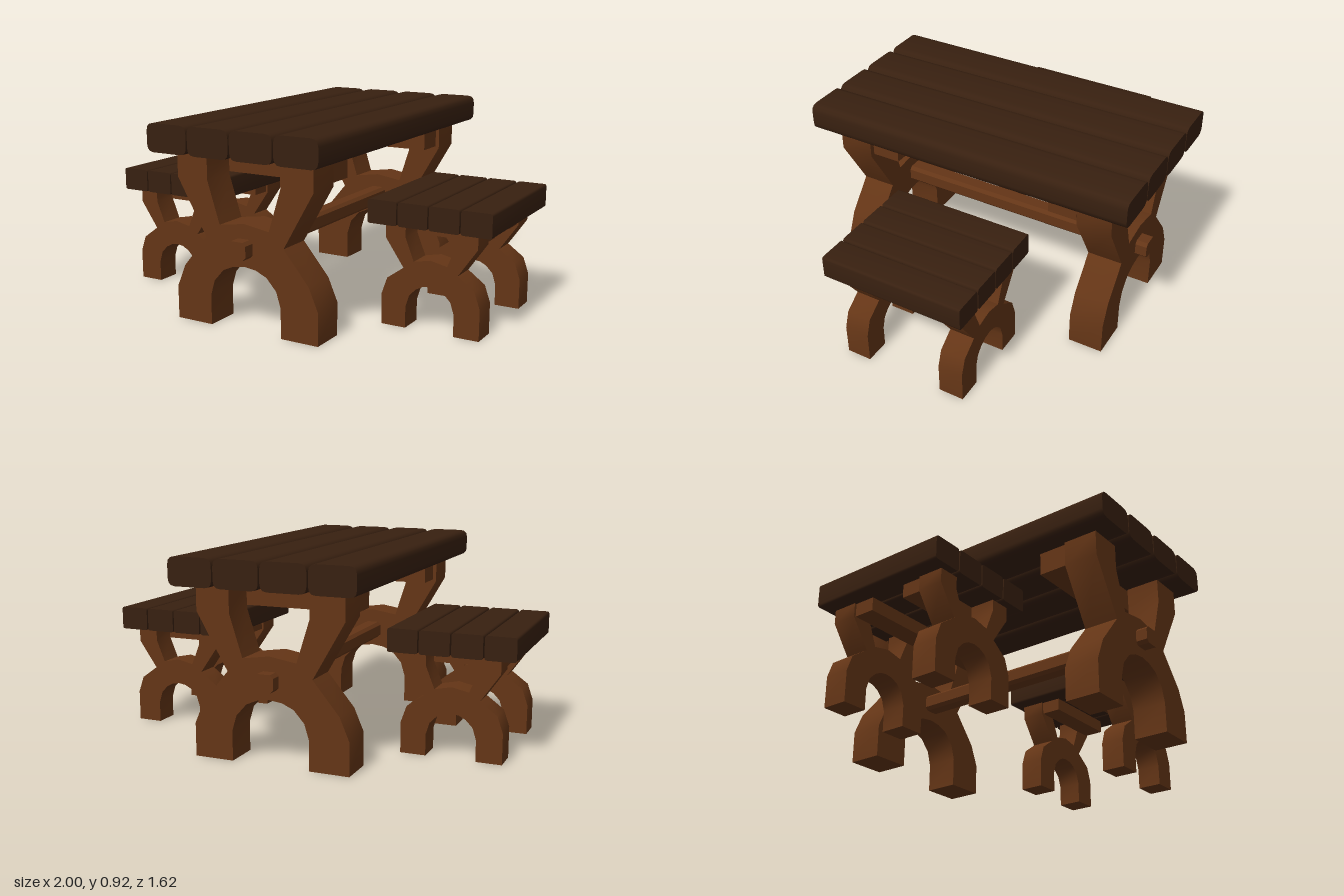
import * as THREE from 'three';
import { toCreasedNormals } from 'three/addons/utils/BufferGeometryUtils.js';

const darkWood = new THREE.MeshStandardMaterial({ color: 0x382010 });
const warmWood = new THREE.MeshStandardMaterial({ color: 0x643516 });

// Extrude a shape along z, centred on z = 0, keeping hard edges sharp
function extrudeZ(shape, depth, curveSegments = 3) {
  const geo = new THREE.ExtrudeGeometry(shape, { depth, bevelEnabled: false, curveSegments });
  geo.translate(0, 0, -depth / 2);
  return toCreasedNormals(geo, 0.65);
}

// Bar along z with rounded long edges
function bar(w, h, depth, r, segments) {
  const x = w / 2, y = h / 2;
  const s = new THREE.Shape();
  s.moveTo(-x + r, -y);
  s.lineTo(x - r, -y);
  s.quadraticCurveTo(x, -y, x, -y + r);
  s.lineTo(x, y - r);
  s.quadraticCurveTo(x, y, x - r, y);
  s.lineTo(-x + r, y);
  s.quadraticCurveTo(-x, y, -x, y - r);
  s.lineTo(-x, -y + r);
  s.quadraticCurveTo(-x, -y, -x + r, -y);
  return extrudeZ(s, depth, segments);
}

// Trestle outline from its right half, mirrored; first and last points lie on the axis
function trestle(half, depth) {
  const right = half.map(([x, y]) => new THREE.Vector2(x, y));
  const left = half.slice(1, -1).reverse().map(([x, y]) => new THREE.Vector2(-x, y));
  return extrudeZ(new THREE.Shape([...right, ...left]), depth);
}

function add(parent, name, geo, material, x, y, z) {
  const mesh = new THREE.Mesh(geo, material);
  mesh.name = name;
  mesh.position.set(x, y, z);
  parent.add(mesh);
}

// Plank top on two arched trestles, with a cross beam inside each trestle
function plankFurniture(name, o) {
  const group = new THREE.Group();
  group.name = name;
  const plank = bar(o.plankW, o.plankH, o.length, o.round, 3);
  for (let i = 0; i < 4; i++) {
    add(group, 'plank', plank, darkWood, o.plankX + (i - 1.5) * o.pitch, o.top - o.plankH / 2, 0);
  }
  const leg = trestle(o.profile, o.legDepth);
  const beam = new THREE.BoxGeometry(o.beamW, o.beamH, o.beamDepth);
  for (const side of [1, -1]) {
    add(group, 'trestleLeg', leg, warmWood, 0, 0, side * o.legZ);
    add(group, 'crossBeam', beam, warmWood, 0, o.top - o.plankH - o.beamH / 2, side * o.beamZ);
  }
  return group;
}

export function createModel() {
  const model = new THREE.Group();
  model.name = 'picnicTableSet';

  // Table
  const table = plankFurniture('table', {
    plankW: 0.215, plankH: 0.13, length: 1.625, round: 0.035, pitch: 0.222, plankX: -0.004, top: 0.92,
    legDepth: 0.167, legZ: 0.633, beamW: 0.68, beamH: 0.11, beamDepth: 0.14, beamZ: 0.472,
    profile: [
      [0, 0.3], [0.06, 0.292], [0.115, 0.268], [0.165, 0.212], [0.187, 0.14], [0.187, 0],
      [0.375, 0], [0.375, 0.155], [0.33, 0.26], [0.205, 0.41], [0.355, 0.67], [0.355, 0.79],
      [0.192, 0.79], [0.192, 0.67], [0.13, 0.475], [0, 0.495],
    ],
  });
  table.position.x = -0.008;
  // Long stretcher passing through both trestles
  add(table, 'stretcher', bar(0.09, 0.082, 1.545, 0.015, 1), warmWood, 0, 0.386, 0);
  model.add(table);

  // Benches on both sides
  for (const [name, x] of [['leftBench', 0.702], ['rightBench', -0.708]]) {
    const bench = plankFurniture(name, {
      plankW: 0.142, plankH: 0.11, length: 0.697, round: 0.012, pitch: 0.149, plankX: 0, top: 0.585,
      legDepth: 0.121, legZ: 0.252, beamW: 0.42, beamH: 0.063, beamDepth: 0.102, beamZ: 0.141,
      profile: [
        [0, 0.21], [0.035, 0.205], [0.068, 0.188], [0.1, 0.155], [0.117, 0.1], [0.117, 0],
        [0.237, 0], [0.237, 0.145], [0.21, 0.222], [0.13, 0.28], [0.22, 0.41], [0.22, 0.475],
        [0.122, 0.475], [0.122, 0.42], [0.08, 0.315], [0, 0.332],
      ],
    });
    bench.position.set(x, 0, 0.002);
    model.add(bench);
  }
  return model;
}
